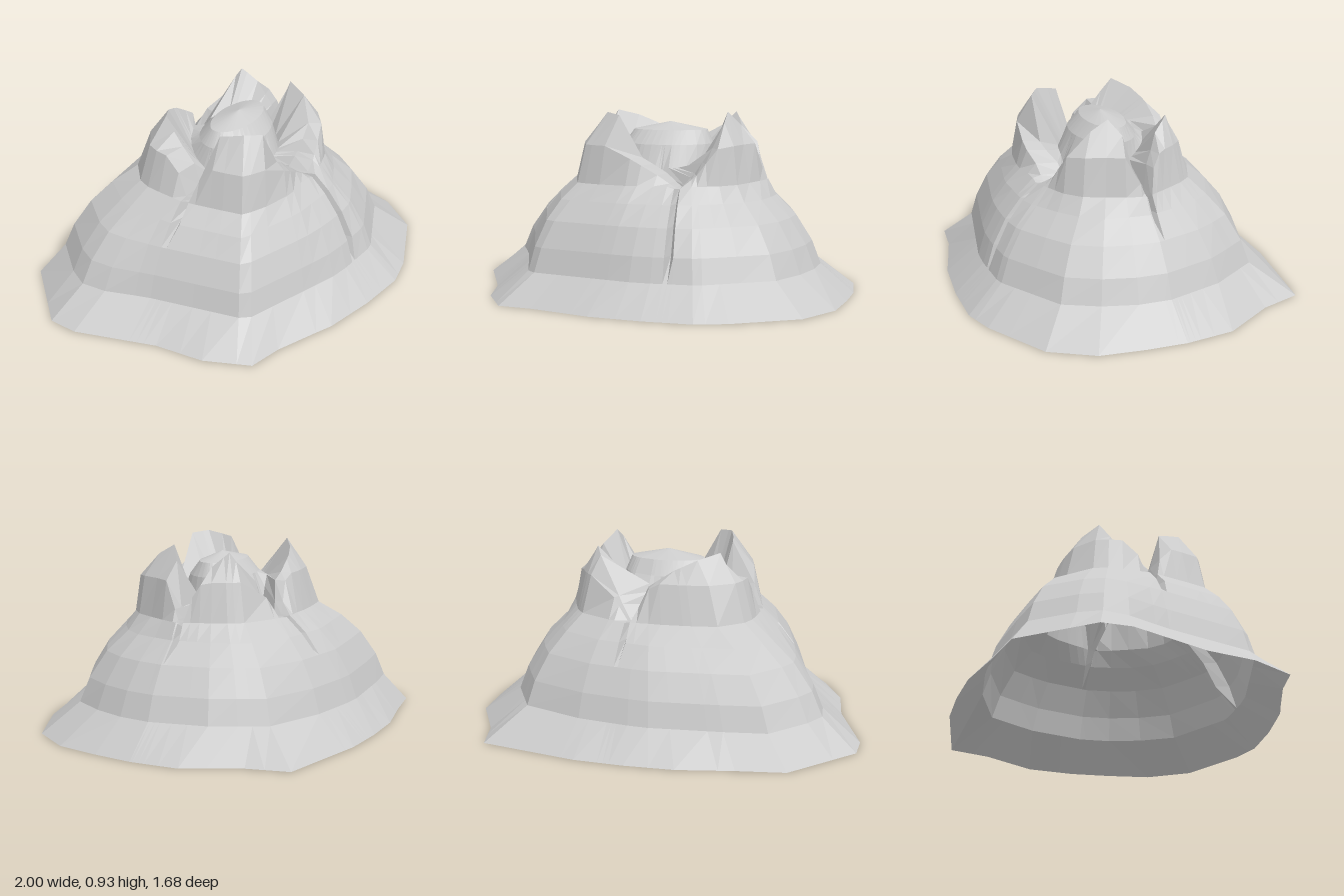
import * as THREE from 'three';

// All sections are swept by angle around this axis, where the four gullies meet.
const CX = 0.15;
const RAD = Math.PI / 180;

// Outlines as flat x, z lists: the ground line, the foot of the slope and the upper bench.
const ground = [-0.72, -0.73, -0.48, -0.77, -0.2, -0.83, 0.05, -0.84, 0.3, -0.83, 0.8, -0.73, 0.85, -0.52, 0.99, -0.25,
  1, 0, 0.95, 0.4, 0.81, 0.63, 0.46, 0.8, 0.3, 0.84, 0.05, 0.82, -0.22, 0.77, -0.5, 0.66, -0.7, 0.62, -0.81, 0.4,
  -0.85, 0.15, -1, -0.25, -1, -0.4];
const foot = [-0.82, -0.38, -0.6, -0.65, 0, -0.71, 0.6, -0.62, 0.66, -0.5, 0.77, -0.3, 0.83, 0, 0.8, 0.25, 0.65, 0.5,
  0.3, 0.68, 0, 0.67, -0.58, 0.5, -0.72, 0, -0.82, -0.25];
const bench = [-0.54, -0.25, -0.45, -0.46, 0, -0.52, 0.44, -0.45, 0.55, -0.25, 0.6, 0, 0.56, 0.2, 0.45, 0.35,
  0.2, 0.49, -0.1, 0.48, -0.44, 0.38, -0.54, 0];

// Crest line: angle, radius, height. Four peaks divided by four gullies.
const crest = [
  [-3, 0.33, 0.54], [3, 0.32, 0.64], [14, 0.28, 0.86], [29, 0.24, 0.93], [45, 0.29, 0.88], [60, 0.31, 0.76],
  [76, 0.27, 0.63], [90, 0.25, 0.56], [106, 0.27, 0.63], [122, 0.36, 0.71], [136, 0.43, 0.92], [148, 0.45, 0.93],
  [164, 0.43, 0.9], [177, 0.43, 0.54], [184, 0.43, 0.7], [206, 0.47, 0.91], [220, 0.42, 0.88], [235, 0.37, 0.83],
  [255, 0.31, 0.74], [270, 0.33, 0.56], [285, 0.3, 0.68], [318, 0.29, 0.91], [335, 0.28, 0.84], [350, 0.3, 0.7],
  [357, 0.33, 0.54],
];

// Narrow clefts running down from the gullies: angle and height of the lower end.
const clefts = [{ a: 90, low: 0.2 }, { a: 177, low: 0.45 }, { a: 270, low: 0.45 }, { a: 357, low: 0.45 }];

const mix = THREE.MathUtils.lerp;

// Distance from the axis to an outline in a given direction.
function reach(outline, deg) {
  const dx = Math.cos(deg * RAD), dz = Math.sin(deg * RAD);
  let best = 0;
  for (let i = 0; i < outline.length; i += 2) {
    const j = (i + 2) % outline.length;
    const ax = outline[i] - CX, az = outline[i + 1];
    const ex = outline[j] - outline[i], ez = outline[j + 1] - outline[i + 1];
    const det = dx * ez - dz * ex;
    if (Math.abs(det) < 1e-9) continue;
    const t = (ax * ez - az * ex) / det, s = (ax * dz - az * dx) / det;
    if (s >= -1e-6 && s <= 1 + 1e-6) best = Math.max(best, t);
  }
  return best;
}

function crestAt(deg) {
  const d = deg > 357 ? deg - 360 : deg;
  const i = Math.max(1, crest.findIndex((c) => c[0] >= d));
  const [a0, r0, y0] = crest[i - 1], [a1, r1, y1] = crest[i];
  const t = (d - a0) / (a1 - a0);
  return { r: mix(r0, r1, t), y: mix(y0, y1, t) };
}

// One vertical section, from the ground up over the crest and onto the central plug.
function section(deg) {
  const c = Math.cos(deg * RAD), s = Math.sin(deg * RAD);
  const back = Math.max(0, -s);
  const rim = crestAt(deg);
  const footR = reach(foot, deg), benchR = reach(bench, deg);
  const cleft = clefts.find(({ a }) => a === deg);
  const slope = [
    [reach(ground, deg), 0],
    [footR, 0.15],
    [mix(footR, benchR, 0.2), 0.27],
    [mix(footR, benchR, 0.56), 0.4],
    [benchR, 0.5],
    [mix(benchR, rim.r, 0.35 + 0.15 * back), 0.58],
    [mix(benchR, rim.r, 0.53 + 0.25 * back), 0.77],
    [rim.r, rim.y],
  ].map(([r, y]) => {
    const dented = cleft && y > cleft.low ? Math.max(rim.r, r - 0.07) : r;
    return [CX + dented * c, Math.min(y, rim.y), dented * s];
  });
  // Crater floor, plug skirt and plug top
  const moat = [0.03 + 0.25 * c, Math.min(0.65 + 0.1 * back, rim.y + 0.05), 0.21 * s];
  const skirt = [0.04 + 0.23 * c, 0.76, 0.16 * s];
  const plug = [0.05 + 0.19 * c, 0.83, 0.1 * s];
  return [...slope, moat, skirt, plug];
}

function mountainGeometry() {
  // Sections at the crest points, the lips of each cleft and the ground corners.
  const angles = crest.slice(1).map(([a]) => a);
  const add = (a, gap) => {
    if (angles.every((b) => Math.abs(a - b) > gap)) angles.push(a);
  };
  clefts.forEach(({ a }) => [-2, 2].forEach((o) => add(a + o, 1)));
  for (let i = 0; i < ground.length; i += 2) {
    add((Math.atan2(ground[i + 1], ground[i] - CX) / RAD + 360) % 360, 2.5);
  }
  const sections = angles.sort((a, b) => a - b).map(section);

  const n = sections.length, m = sections[0].length;
  const positions = sections.flat(2);
  const index = [];
  const apex = n * m;
  positions.push(0.05, 0.87, 0.01);
  for (let i = 0; i < n; i++) {
    const a = i * m, b = ((i + 1) % n) * m;
    for (let k = 0; k < m - 1; k++) {
      index.push(a + k, a + k + 1, b + k, b + k, a + k + 1, b + k + 1);
    }
    index.push(a + m - 1, apex, b + m - 1);
  }
  const geometry = new THREE.BufferGeometry();
  geometry.setAttribute('position', new THREE.Float32BufferAttribute(positions, 3));
  geometry.setIndex(index);
  geometry.computeVertexNormals();
  return geometry;
}

export function createModel() {
  const group = new THREE.Group();
  group.name = 'volcano';
  // Open-bottomed shell
  const rock = new THREE.MeshStandardMaterial({ color: 0xcccccc, flatShading: true, side: THREE.DoubleSide });
  const mountain = new THREE.Mesh(mountainGeometry(), rock);
  mountain.name = 'mountainShell';
  group.add(mountain);
  return group;
}
